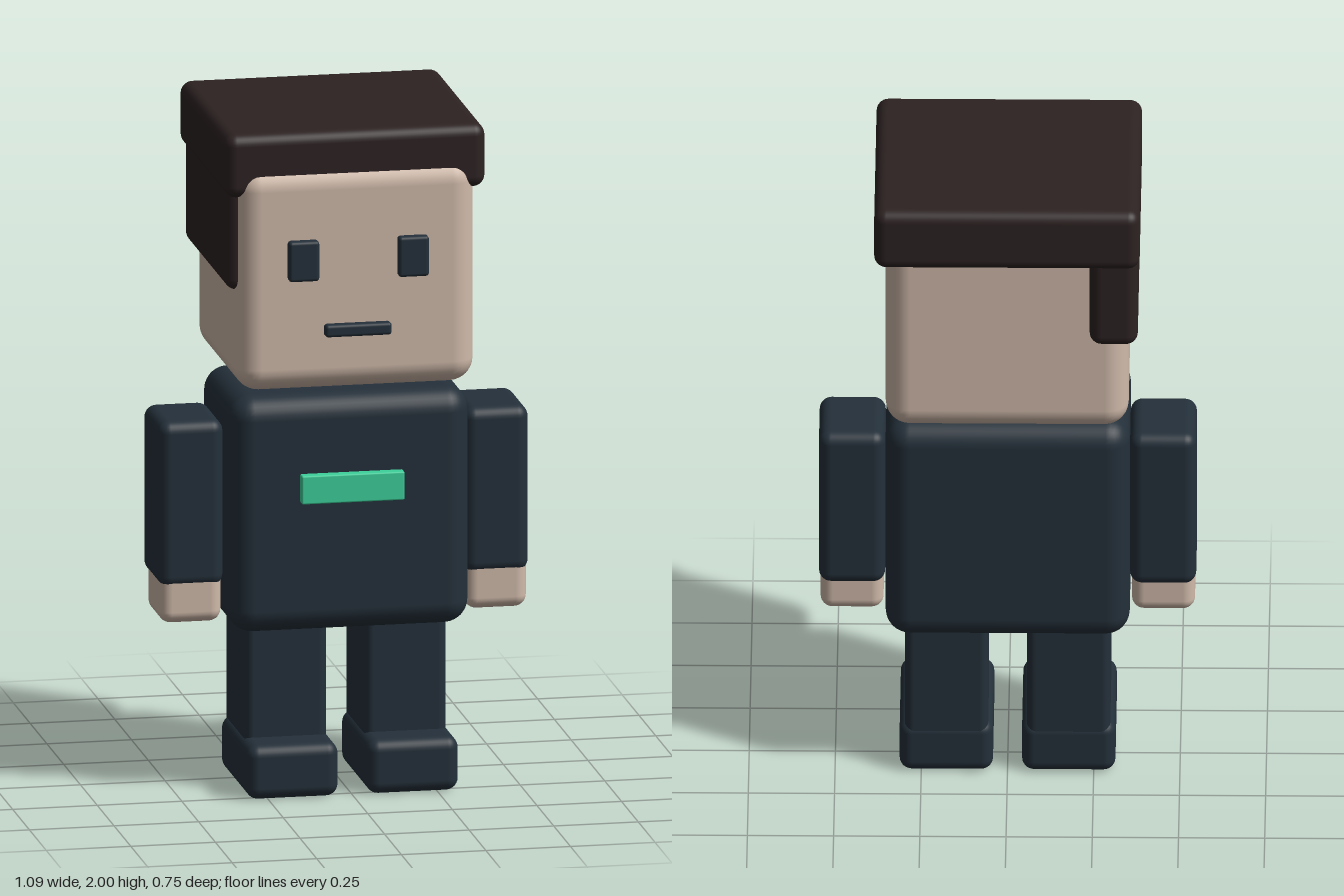
import * as THREE from 'three';
import { RoundedBoxGeometry } from 'three/addons/geometries/RoundedBoxGeometry.js';

function material(name, color) {
  const m = new THREE.MeshStandardMaterial({ color });
  m.name = name;
  return m;
}

// Rounded block given by its extents on each axis
function block(name, mat, [x0, x1], [y0, y1], [z0, z1], radius) {
  const geo = new RoundedBoxGeometry(x1 - x0, y1 - y0, z1 - z0, 4, radius);
  const mesh = new THREE.Mesh(geo, mat);
  mesh.name = name;
  mesh.position.set((x0 + x1) / 2, (y0 + y1) / 2, (z0 + z1) / 2);
  return mesh;
}

export function createModel() {
  const navy = material('navy cloth', 0x24303a);
  const skin = material('skin', 0xd0baaa);
  const brown = material('dark brown hair', 0x2d2222);
  const green = material('green badge', 0x3dd09b);

  const model = new THREE.Group();
  model.name = 'blockFigure';

  // Head, hair cap and the lock hanging on one side
  model.add(
    block('head', skin, [-0.353, 0.352], [1.23, 1.9], [-0.293, 0.35], 0.07),
    block('hairCap', brown, [-0.386, 0.384], [1.81, 2.0], [-0.375, 0.333], 0.035),
    block('hairSide', brown, [-0.38, -0.24], [1.53, 1.9], [-0.325, 0.31], 0.035),
    block('mouth', navy, [-0.1, 0.097], [1.395, 1.432], [0.33, 0.376], 0.01),
  );

  // Torso with chest badge
  model.add(
    block('torso', navy, [-0.355, 0.353], [0.487, 1.195], [-0.212, 0.267], 0.07),
    block('badge', green, [-0.154, 0.15], [0.88, 0.965], [0.24, 0.297], 0.005),
  );

  // Paired parts, mirrored across x
  const pairs = [
    ['eye', navy, [0.117, 0.207], [1.565, 1.685], [0.33, 0.376], 0.01],
    ['arm', navy, [0.355, 0.547], [0.61, 1.107], [-0.102, 0.155], 0.035],
    ['hand', skin, [0.36, 0.543], [0.503, 0.68], [-0.062, 0.149], 0.035],
    ['leg', navy, [0.056, 0.298], [0.05, 0.56], [-0.123, 0.18], 0.025],
    ['foot', navy, [0.042, 0.313], [0, 0.162], [-0.125, 0.292], 0.035],
  ];
  for (const [name, mat, [a, b], y, z, r] of pairs) {
    const group = new THREE.Group();
    group.name = name + 's';
    group.add(block(name + 'Left', mat, [a, b], y, z, r));
    group.add(block(name + 'Right', mat, [-b, -a], y, z, r));
    model.add(group);
  }
  return model;
}
